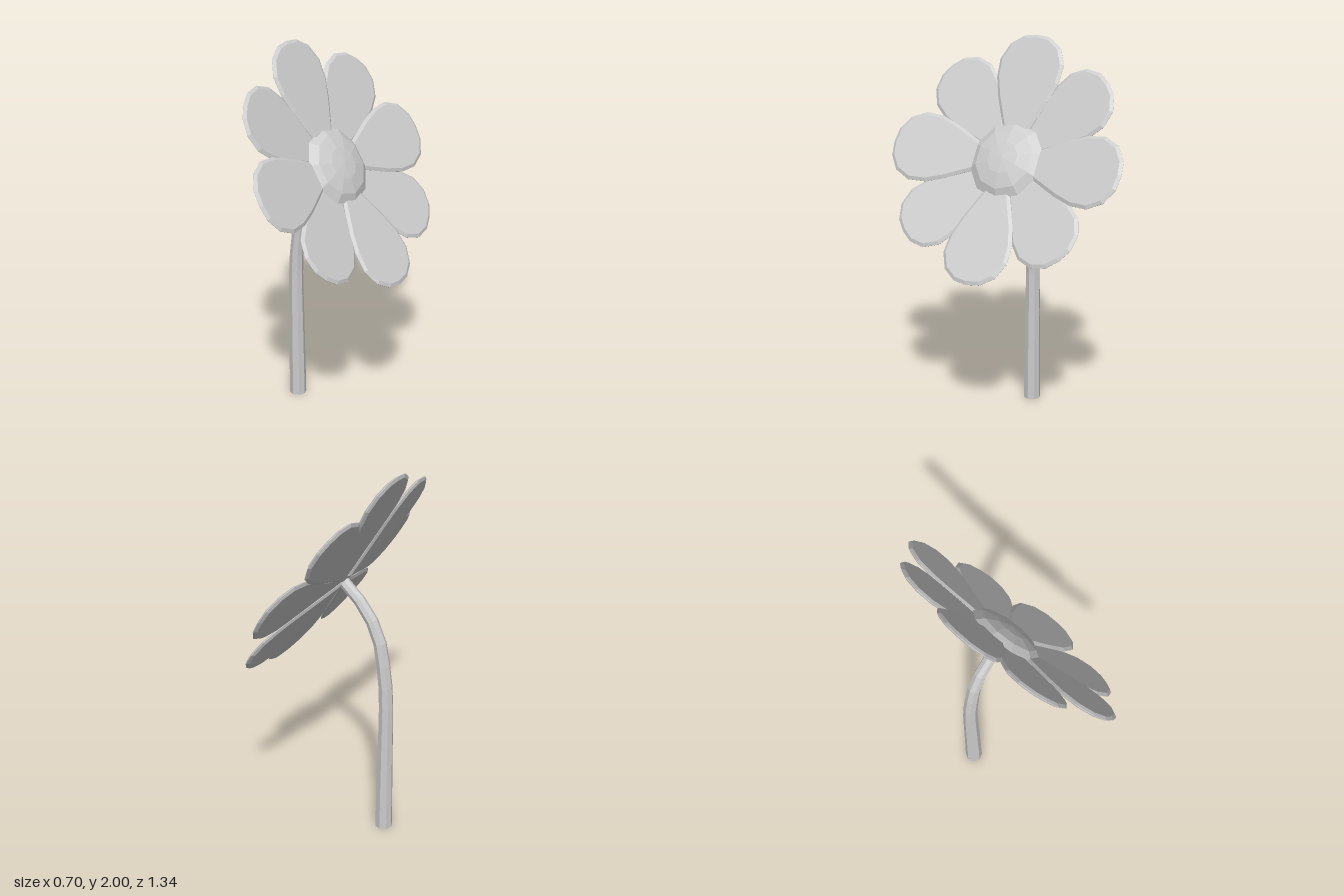
import * as THREE from 'three';

const material = new THREE.MeshStandardMaterial({ color: 0xcccccc, flatShading: true });
const doubleSided = new THREE.MeshStandardMaterial({ color: 0xcccccc, flatShading: true, side: THREE.DoubleSide });

function part(name, geometry, mat = material) {
  const mesh = new THREE.Mesh(geometry, mat);
  mesh.name = name;
  return mesh;
}

// Curved stem: a tube that narrows towards the flower
function createStem() {
  const segments = 12, sides = 8, rBase = 0.046, rTop = 0.03;
  const curve = new THREE.CatmullRomCurve3([
    [-0.305, 0], [-0.305, 0.4], [-0.303, 0.8], [-0.285, 0.97], [-0.247, 1.14], [-0.164, 1.275], [-0.05, 1.38],
  ].map(([x, y]) => new THREE.Vector3(x, y, 0)));
  const tube = new THREE.TubeGeometry(curve, segments, rBase, sides, false);
  const pos = tube.attributes.position;
  const v = new THREE.Vector3();
  for (let i = 0; i < pos.count; i++) {
    const t = Math.floor(i / (sides + 1)) / segments;
    const centre = curve.getPointAt(t);
    v.fromBufferAttribute(pos, i).sub(centre).multiplyScalar(THREE.MathUtils.lerp(1, rTop / rBase, t)).add(centre);
    pos.setXYZ(i, v.x, Math.max(v.y, 0), v.z);
  }
  const stem = new THREE.Group();
  stem.name = 'stem';
  const foot = part('stemFoot', new THREE.CircleGeometry(rBase, sides).rotateX(Math.PI / 2));
  foot.position.set(-0.305, 0, 0);
  stem.add(part('stemTube', tube, doubleSided), foot);
  return stem;
}

// Petal lying along +x: half outline mirrored, thin with a bevelled rim
function createPetalGeometry() {
  const half = [
    [0.02, 0.02], [0.18, 0.08], [0.33, 0.148], [0.43, 0.182], [0.53, 0.188], [0.615, 0.148], [0.664, 0.075],
  ];
  const outline = [
    ...half.map(([r, w]) => new THREE.Vector2(r, -w)),
    new THREE.Vector2(0.674, 0),
    ...half.map(([r, w]) => new THREE.Vector2(r, w)).reverse(),
  ];
  const geometry = new THREE.ExtrudeGeometry(new THREE.Shape(outline), {
    depth: 0.002, bevelEnabled: true, bevelSegments: 1,
    bevelSize: 0.017, bevelOffset: -0.017, bevelThickness: 0.01,
  });
  return geometry.translate(0, 0, -0.001).rotateX(-Math.PI / 2);
}

// Flower head facing local +y
function createFlowerHead() {
  const head = new THREE.Group();
  head.name = 'flowerHead';

  // Every second petal sits a little behind and is slightly shorter
  const petalGeometry = createPetalGeometry();
  for (let i = 0; i < 8; i++) {
    const behind = i % 2 === 1;
    const pivot = new THREE.Group();
    pivot.name = 'petalPivot';
    pivot.rotation.y = (i * Math.PI) / 4;
    pivot.position.y = behind ? -0.011 : 0;
    const petal = part('petal', petalGeometry);
    petal.rotation.z = THREE.MathUtils.degToRad(5); // slight cupping
    petal.scale.setScalar(behind ? 0.975 : 1);
    pivot.add(petal);
    head.add(pivot);
  }

  // Shallow faceted dome in the middle
  const profile = [[0.18, 0.009], [0.207, 0.019], [0.162, 0.047], [0.085, 0.065], [0, 0.072]]
    .map(([r, y]) => new THREE.Vector2(r, y));
  head.add(part('flowerCentre', new THREE.LatheGeometry(profile, 10, Math.PI / 2)));
  return head;
}

export function createModel() {
  const model = new THREE.Group();
  model.name = 'flower';
  const head = createFlowerHead();
  head.position.set(-0.047, 1.396, 0);
  head.rotation.z = THREE.MathUtils.degToRad(-58.7);
  model.add(createStem(), head);
  return model;
}
